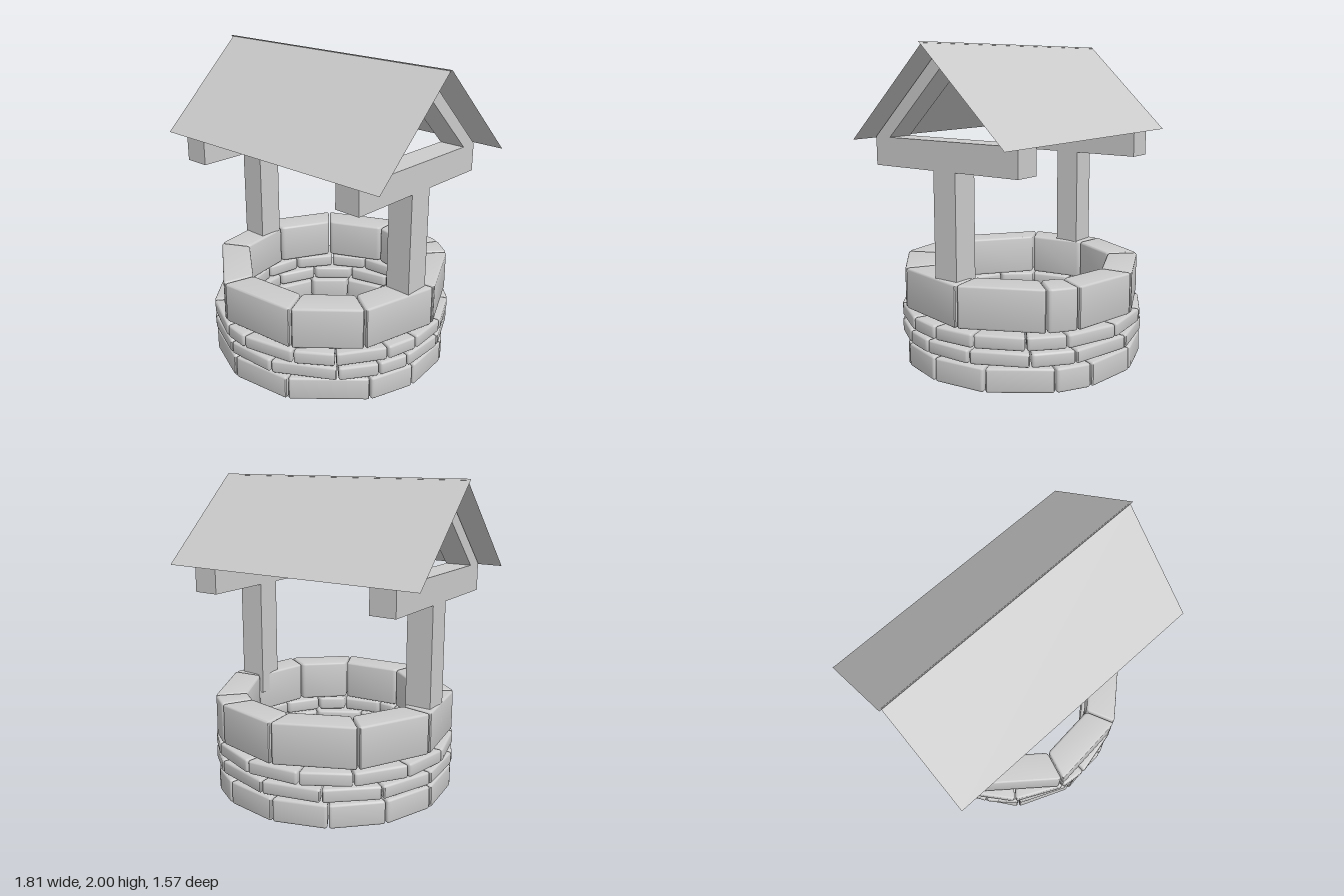
import * as THREE from 'three';
import { toCreasedNormals } from 'three/addons/utils/BufferGeometryUtils.js';

const stoneMat = new THREE.MeshStandardMaterial({ color: 0xcccccc });
const woodMat = new THREE.MeshStandardMaterial({ color: 0xcccccc });
const roofMat = new THREE.MeshStandardMaterial({ color: 0xcccccc, side: THREE.DoubleSide });

function addMesh(parent, name, geometry, material) {
  const mesh = new THREE.Mesh(geometry, material);
  mesh.name = name;
  parent.add(mesh);
  return mesh;
}

// Closed outline with every corner rounded by distance r
function roundedOutline(points, r) {
  const shape = new THREE.Shape();
  const n = points.length;
  points.forEach((p, i) => {
    const prev = points[(i + n - 1) % n];
    const next = points[(i + 1) % n];
    const a = p.clone().add(prev.clone().sub(p).setLength(r));
    const b = p.clone().add(next.clone().sub(p).setLength(r));
    if (i === 0) shape.moveTo(a.x, a.y);
    else shape.lineTo(a.x, a.y);
    shape.quadraticCurveTo(p.x, p.y, b.x, b.y);
  });
  shape.closePath();
  return shape;
}

// Flat-faced wedge stone between two angles (degrees from +z towards +x)
function stoneGeometry(from, to, inner, outer, y0, y1) {
  const bevel = 0.014, gap = 0.004;
  const corner = (deg, r, side) => {
    const t = THREE.MathUtils.degToRad(deg) + side * gap / r;
    return new THREE.Vector2(r * Math.sin(t), -r * Math.cos(t));
  };
  const shape = roundedOutline([
    corner(from, outer, 1), corner(to, outer, -1),
    corner(to, inner, -1), corner(from, inner, 1),
  ], 0.022);
  const g = new THREE.ExtrudeGeometry(shape, {
    depth: y1 - y0 - 2 * bevel, curveSegments: 3,
    bevelThickness: bevel, bevelSize: bevel, bevelOffset: -bevel, bevelSegments: 3,
  });
  g.rotateX(-Math.PI / 2).translate(0, y0 + bevel, 0);
  return toCreasedNormals(g, 0.7);
}

// Stone courses: height range, radii and the angles of the joints
const courses = [
  { name: 'baseCourse', y: [0, 0.15], r: [0.58, 0.785],
    joints: [-37, -8, 23, 61, 84, 110, 141, 158, 185, 211, 237, 263, 291] },
  { name: 'lowerBrickCourse', y: [0.165, 0.25], r: [0.585, 0.79],
    joints: [-37, -10, 15, 46, 65, 80, 103, 130, 150, 180, 208, 235, 262, 289, 306] },
  { name: 'upperBrickCourse', y: [0.265, 0.35], r: [0.585, 0.79],
    joints: [-39, -13, 0, 26, 45, 69, 85, 105, 128, 146, 172, 198, 222, 248, 272, 298] },
  { name: 'rimCourse', y: [0.365, 0.628], r: [0.58, 0.785],
    joints: [-15, 25, 58, 97, 137, 151, 185, 224, 261, 298] },
];

// Gable truss outline in (z, y), with a triangular opening
function trussGeometry(width) {
  const points = (list) => list.map(([z, y]) => new THREE.Vector2(-z, y));
  const shape = new THREE.Shape(points([
    [0.567, 1.27], [-0.51, 1.27], [-0.51, 1.445], [-0.032, 1.918], [0.085, 1.918], [0.567, 1.445],
  ]));
  shape.holes.push(new THREE.Path(points([[0.45, 1.445], [0.025, 1.865], [-0.4, 1.445]])));
  const g = new THREE.ExtrudeGeometry(shape, { depth: width, bevelEnabled: false });
  return g.translate(0, 0, -width / 2).rotateY(Math.PI / 2);
}

// Thin roof sheet from eave to ridge, each given as [z, y]
function roofSheet(width, eave, ridge) {
  const dz = ridge[0] - eave[0], dy = ridge[1] - eave[1];
  const g = new THREE.PlaneGeometry(width, Math.hypot(dz, dy));
  if (dz > 0) g.rotateY(Math.PI);
  g.rotateX(Math.atan2(dz, dy));
  return g.translate(0, (eave[1] + ridge[1]) / 2, (eave[0] + ridge[0]) / 2);
}

export function createModel() {
  const well = new THREE.Group();
  well.name = 'well';

  // Stone wall
  for (const { name, y, r, joints } of courses) {
    const course = new THREE.Group();
    course.name = name;
    joints.forEach((from, i) => {
      const to = i + 1 < joints.length ? joints[i + 1] : joints[0] + 360;
      addMesh(course, 'stone', stoneGeometry(from, to, r[0], r[1], y[0], y[1]), stoneMat);
    });
    well.add(course);
  }

  // Posts, each carrying a gable truss
  const width = 0.17, postBottom = 0.5, postTop = 1.27;
  for (const [side, x] of [['right', -0.655], ['left', 0.645]]) {
    const frame = new THREE.Group();
    frame.name = side + 'Frame';
    frame.position.x = x;
    const post = new THREE.BoxGeometry(width, postTop - postBottom, 0.166);
    addMesh(frame, 'post', post, woodMat).position.set(0, (postTop + postBottom) / 2, 0.018);
    addMesh(frame, 'truss', trussGeometry(width), woodMat);
    well.add(frame);
  }

  // Roof
  addMesh(well, 'frontRoof', roofSheet(1.78, [0.595, 1.435], [0.02, 1.992]), roofMat);
  addMesh(well, 'backRoof', roofSheet(1.81, [-0.555, 1.437], [0.03, 2]), roofMat);

  return well;
}
